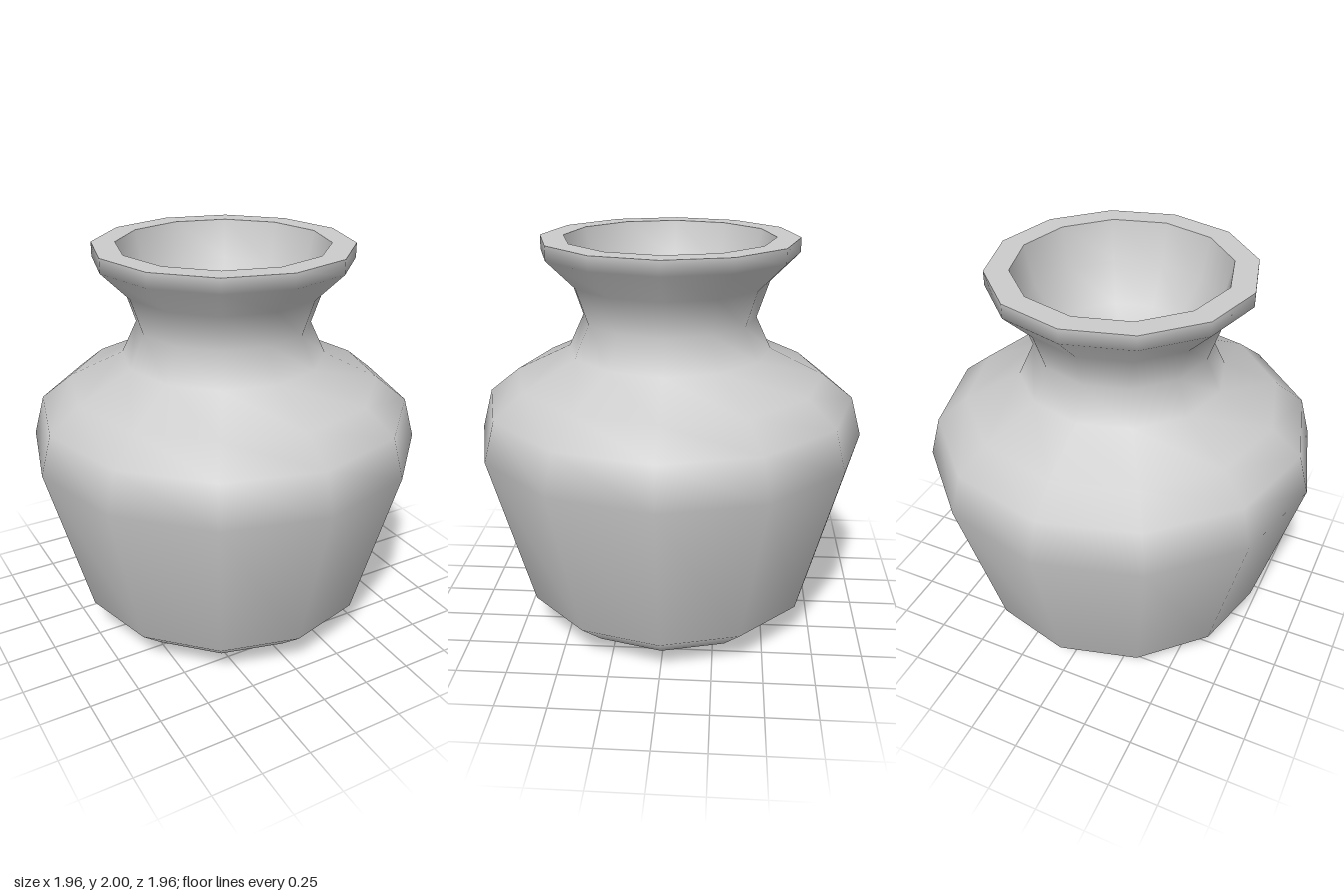
import * as THREE from 'three';

const SIDES = 12;

// Outer wall from the open foot up to the lip: [radius, height]
const WALL = [
  [0.44, 0], [0.62, 0.07], [0.765, 0.2], [0.98, 1.0], [0.925, 1.2], [0.775, 1.32],
  [0.505, 1.45], [0.43, 1.61], [0.49, 1.79], [0.63, 1.93], [0.63, 2],
];
// Flat ring on top of the lip
const RIM = [[0.63, 2], [0.515, 2]];
// Rounded hollow inside the neck
const HOLLOW = [[0.515, 2], [0.47, 1.8], [0.35, 1.62], [0.18, 1.51], [0, 1.48]];

export function createModel() {
  const group = new THREE.Group();
  group.name = 'vase';
  const material = new THREE.MeshStandardMaterial({ color: 0xcccccc, side: THREE.DoubleSide });

  // Turns a profile around the vertical axis
  const turn = (name, profile) => {
    const points = profile.map(([r, y]) => new THREE.Vector2(r, y));
    const mesh = new THREE.Mesh(new THREE.LatheGeometry(points, SIDES), material);
    mesh.name = name;
    group.add(mesh);
  };

  turn('outerWall', WALL);
  turn('rim', RIM);
  turn('innerHollow', HOLLOW);
  return group;
}
